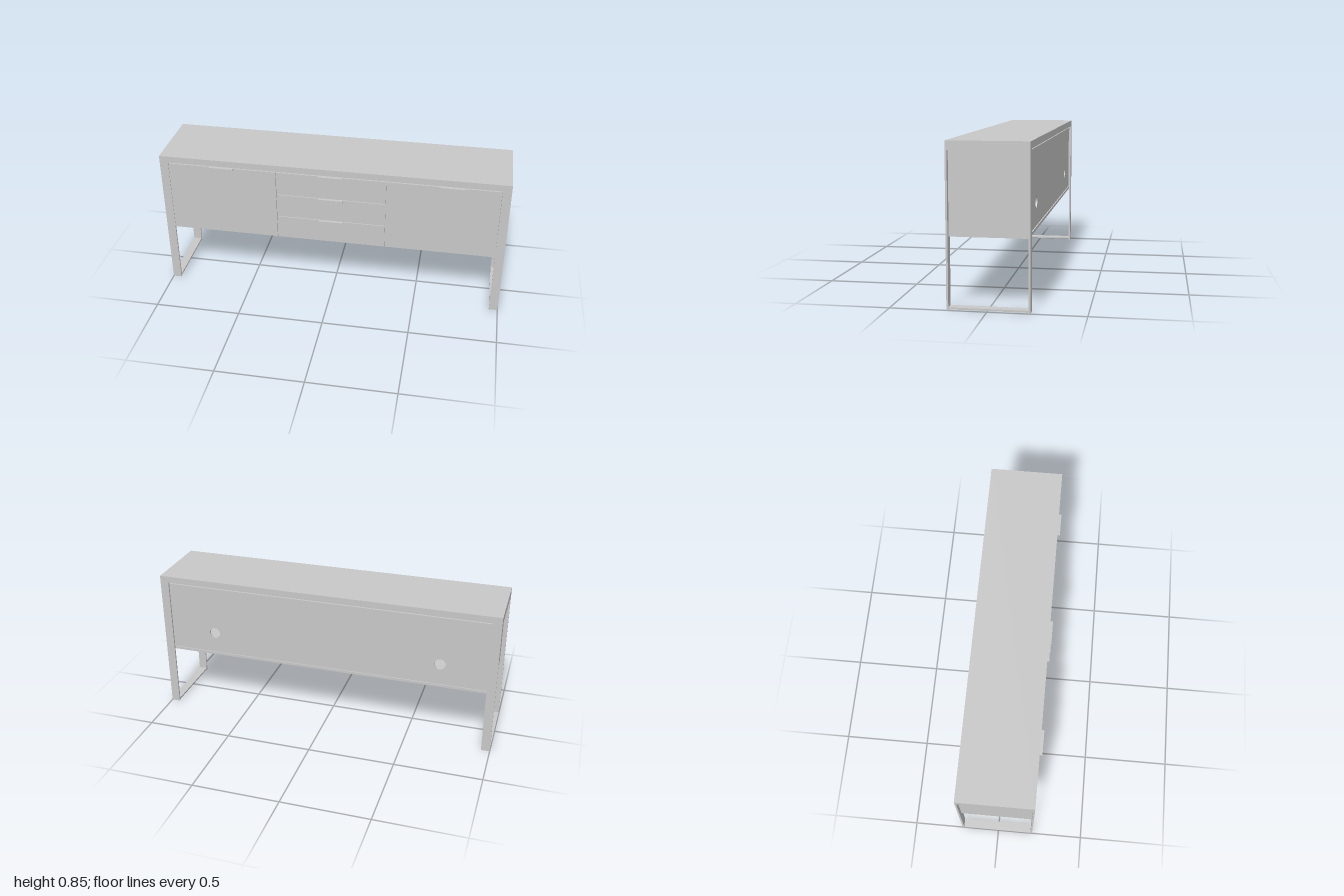
import * as THREE from 'three';

export function createModel() {
  const model = new THREE.Group();
  model.name = 'sideboard';
  const grey = new THREE.MeshStandardMaterial({ color: 0xc8c8c8 });
  grey.name = 'light grey';

  // Box given by its lower and upper limits on each axis
  function slab(name, [x0, x1], [y0, y1], [z0, z1], parent = model) {
    const mesh = new THREE.Mesh(new THREE.BoxGeometry(x1 - x0, y1 - y0, z1 - z0), grey);
    mesh.position.set((x0 + x1) / 2, (y0 + y1) / 2, (z0 + z1) / 2);
    mesh.name = name;
    parent.add(mesh);
    return mesh;
  }

  const front = 0.205, back = -0.218, bar = 0.01;
  const inFront = front - bar, inBack = back + bar;

  // Table top
  slab('top', [-1, 1], [0.81, 0.848], [back, front]);

  // Flat-bar leg loops and carcass sides at both ends
  for (const side of [-1, 1]) {
    const span = (a, b) => (side > 0 ? [a, b] : [-b, -a]);
    const frame = new THREE.Group();
    frame.name = side > 0 ? 'leftLegFrame' : 'rightLegFrame';
    model.add(frame);
    const width = span(0.95, 1);
    slab('frontLeg', width, [0, 0.81], [inFront, front], frame);
    slab('backLeg', width, [0, 0.81], [back, inBack], frame);
    slab('footBar', width, [0.006, 0.016], [inBack, inFront], frame);
    slab('topBar', width, [0.8, 0.81], [inBack, inFront], frame);
    slab('sidePanel', span(0.96, 0.975), [0.37, 0.8], [inBack, inFront]);
    slab('divider', span(0.31, 0.322), [0.385, 0.785], [-0.19, 0.19]);
  }

  // Carcass top and bottom
  slab('carcassBottom', [-0.96, 0.96], [0.37, 0.385], [inBack, inFront]);
  slab('carcassTop', [-0.96, 0.96], [0.785, 0.8], [inBack, inFront]);

  // Back panel with two round cable holes
  const outline = new THREE.Shape([
    new THREE.Vector2(-0.96, 0.385), new THREE.Vector2(0.96, 0.385),
    new THREE.Vector2(0.96, 0.785), new THREE.Vector2(-0.96, 0.785),
  ]);
  for (const x of [-0.68, 0.68]) {
    outline.holes.push(new THREE.Path().absarc(x, 0.51, 0.032, 0, Math.PI * 2, true));
  }
  const backPanel = new THREE.Mesh(
    new THREE.ExtrudeGeometry(outline, { depth: 0.012, bevelEnabled: false, curveSegments: 24 }), grey);
  backPanel.position.z = -0.202;
  backPanel.name = 'backPanel';
  model.add(backPanel);

  // Doors
  slab('rightDoor', [-0.949, -0.318], [0.374, 0.804], [inFront, front - 0.001]);
  slab('leftDoor', [0.318, 0.949], [0.374, 0.804], [inFront, front - 0.001]);

  // Drawer fronts
  for (const [y0, y1] of [[0.374, 0.513], [0.517, 0.658], [0.662, 0.804]]) {
    slab('drawerFront', [-0.314, 0.314], [y0, y1], [inFront, front - 0.001]);
  }

  // Bent-plate pulls: a flat tab with a lip turned down
  for (const [x, y] of [[-0.633, 0.807], [0.683, 0.807], [0, 0.807], [0, 0.661], [0, 0.516]]) {
    const pull = new THREE.Group();
    pull.name = 'pull';
    model.add(pull);
    slab('pullTab', [x - 0.069, x + 0.069], [y - 0.003, y], [0.196, 0.22], pull);
    slab('pullLip', [x - 0.069, x + 0.069], [y - 0.012, y - 0.003], [0.217, 0.22], pull);
  }

  return model;
}
